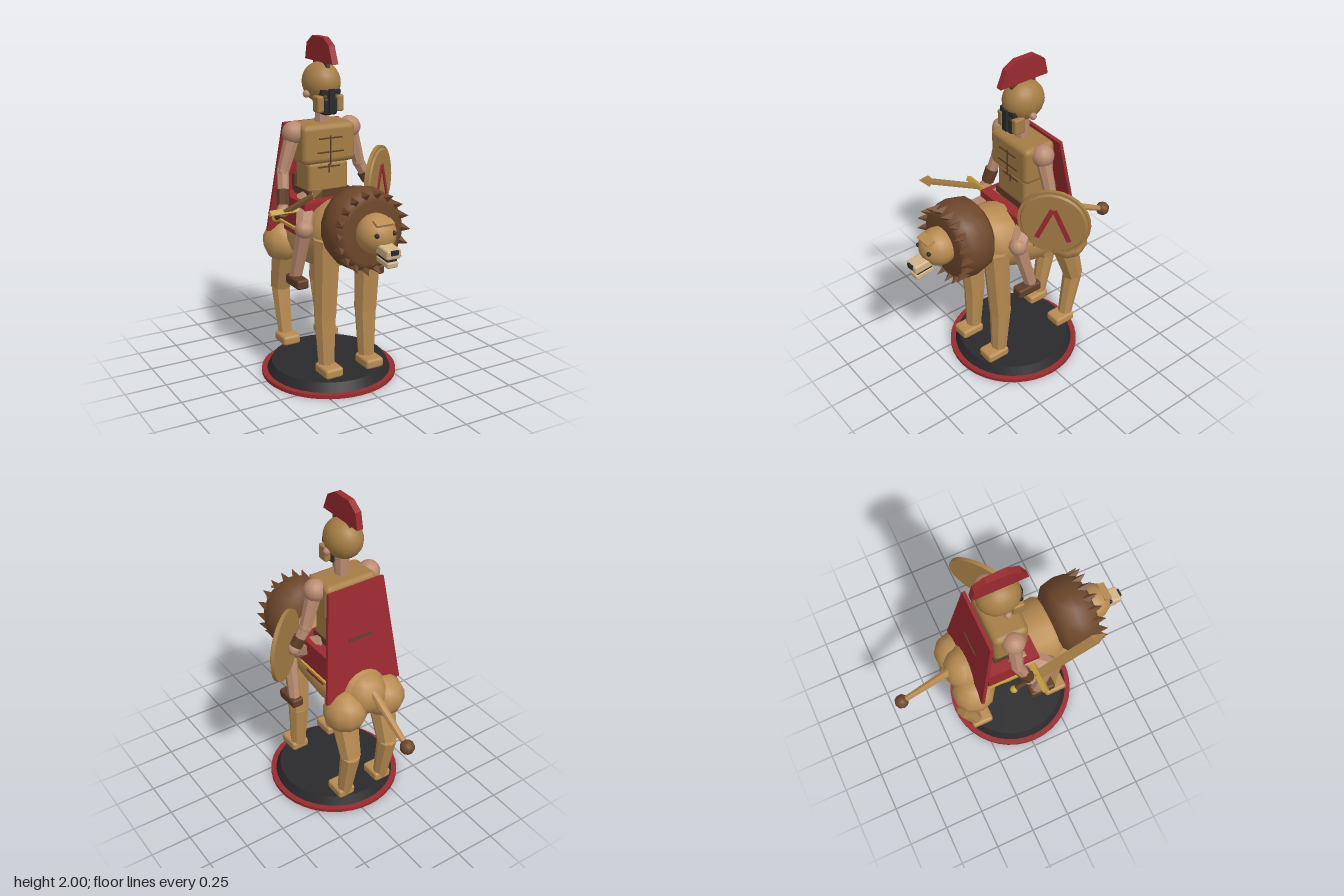
import * as THREE from 'three';
import { RoundedBoxGeometry } from 'three/addons/geometries/RoundedBoxGeometry.js';

const paint = (name, color, flatShading = false) => {
  const m = new THREE.MeshStandardMaterial({ color, flatShading });
  m.name = name;
  return m;
};
const V = (x, y, z) => new THREE.Vector3(x, y, z);

export function createModel() {
  const fur = paint('tawny fur', 0xb98c52);
  const bronze = paint('bronze', 0xa57d45);
  const maneBrown = paint('mane brown', 0x6e472b);
  const leather = paint('dark leather', 0x5f3d27);
  const skin = paint('skin', 0xb98a70);
  const red = paint('red cloth', 0x9a2a2f);
  const black = paint('black', 0x2a2a2c);
  const gold = paint('gold', 0xc4a03a);
  const cream = paint('cream muzzle', 0xd2b588);
  for (const m of [fur, skin]) m.userData.smooth = true;

  const model = new THREE.Group();
  const figure = new THREE.Group();
  figure.name = 'riderAndLion';
  figure.position.x = -0.06;
  model.add(figure);

  const add = (name, geo, mat, x = 0, y = 0, z = 0, parent = figure) => {
    const mesh = new THREE.Mesh(geo, mat);
    mesh.name = name;
    mesh.position.set(x, y, z);
    parent.add(mesh);
    return mesh;
  };
  const box = (name, mat, w, h, d, x, y, z, parent) =>
    add(name, new THREE.BoxGeometry(w, h, d), mat, x, y, z, parent);
  const soft = (name, mat, w, h, d, x, y, z, r = 0.02) =>
    add(name, new RoundedBoxGeometry(w, h, d, 2, r), mat, x, y, z);
  const ball = (name, mat, r, x, y, z, parent, seg = 12) =>
    add(name, new THREE.SphereGeometry(r, seg, Math.ceil(seg * 0.7)), mat, x, y, z, parent);
  // faceted tapered limb between two points
  const limb = (name, mat, a, b, ra, rb, sides = 8) => {
    const dir = b.clone().sub(a);
    const geo = new THREE.CylinderGeometry(rb, ra, dir.length(), sides).toNonIndexed();
    geo.computeVertexNormals();
    const mid = a.clone().add(b).multiplyScalar(0.5);
    const mesh = add(name, geo, mat, mid.x, mid.y, mid.z);
    mesh.quaternion.setFromUnitVectors(V(0, 1, 0), dir.normalize());
    return mesh;
  };
  // oval sections [z, centreY, radiusX, radiusY] joined from front to back
  const loft = (name, mat, sections, seg) => {
    const geo = new THREE.CylinderGeometry(1, 1, 1, seg, sections.length - 1, true);
    const p = geo.attributes.position;
    for (let i = 0; i < p.count; i++) {
      const [z, cy, rx, ry] = sections[Math.floor(i / (seg + 1))];
      p.setXYZ(i, p.getX(i) * rx, cy - p.getZ(i) * ry, z);
    }
    geo.computeVertexNormals();
    return add(name, geo, mat);
  };

  // round plinth
  add('baseRim', new THREE.CylinderGeometry(0.405, 0.405, 0.022, 40), red, 0, 0.011, 0.025);
  add('basePlinth', new THREE.CylinderGeometry(0.345, 0.372, 0.053, 40), black, 0, 0.0485, 0.025);

  // lion body
  loft('lionBody', fur, [
    [0.36, 0.94, 0.005, 0.005], [0.33, 0.94, 0.13, 0.12], [0.24, 0.925, 0.2, 0.185],
    [0.1, 0.89, 0.2, 0.21], [-0.08, 0.82, 0.185, 0.175], [-0.25, 0.83, 0.16, 0.15],
    [-0.36, 0.83, 0.1, 0.1], [-0.405, 0.83, 0.005, 0.005],
  ], 18);
  ball('rump', fur, 0.135, 0, 0.83, -0.275);

  // lion legs, mirrored
  for (const s of [-1, 1]) {
    const x = 0.135 * s;
    limb('frontUpperLeg', fur, V(x, 0.92, 0.25), V(x, 0.44, 0.225), 0.08, 0.066);
    limb('frontLowerLeg', fur, V(x, 0.44, 0.225), V(x, 0.13, 0.24), 0.064, 0.047);
    soft('frontPaw', fur, 0.115, 0.06, 0.15, x, 0.13, 0.275, 0.018);
    ball('haunch', fur, 0.132, x, 0.755, -0.285, figure, 10);
    limb('hindUpperLeg', fur, V(x, 0.72, -0.265), V(x, 0.45, -0.345), 0.085, 0.064);
    limb('hindLowerLeg', fur, V(x, 0.45, -0.345), V(x, 0.12, -0.285), 0.06, 0.042);
    soft('hindPaw', fur, 0.115, 0.06, 0.14, x, 0.13, -0.255, 0.018);
  }

  // tail with tuft
  limb('tail', fur, V(0, 0.9, -0.34), V(0, 0.72, -0.68), 0.028, 0.018);
  ball('tailTuft', maneBrown, 0.044, 0, 0.71, -0.7, figure, 9);

  // mane with a ring of pointed locks
  loft('mane', maneBrown, [
    [0.51, 1, 0.005, 0.005], [0.515, 1, 0.17, 0.18], [0.5, 1, 0.2, 0.21], [0.45, 1, 0.222, 0.232],
    [0.39, 1, 0.228, 0.238], [0.31, 1, 0.208, 0.222], [0.265, 1, 0.15, 0.16], [0.25, 1, 0.005, 0.005],
  ], 18);
  for (let i = 0; i < 18; i++) {
    const a = (i / 18) * Math.PI * 2, c = Math.cos(a), s = Math.sin(a);
    limb('maneLock', maneBrown, V(c * 0.18, 1 + s * 0.19, 0.455),
      V(c * 0.222, 1 + s * 0.232, 0.545), 0.042, 0.001, 4);
  }

  // lion head
  ball('lionHead', fur, 0.112, 0, 1.01, 0.55, figure, 16);
  box('brow', fur, 0.11, 0.014, 0.05, 0, 1.09, 0.625).rotation.x = 0.4;
  for (const s of [-1, 1]) ball('lionEye', black, 0.014, 0.053 * s, 1.03, 0.645, figure, 8);
  soft('snout', cream, 0.09, 0.055, 0.12, 0, 0.948, 0.675, 0.012).rotation.x = 0.12;
  soft('jaw', cream, 0.07, 0.035, 0.12, 0, 0.888, 0.665, 0.01).rotation.x = 0.12;
  box('mouth', black, 0.06, 0.025, 0.1, 0, 0.912, 0.665);
  box('nose', black, 0.045, 0.025, 0.02, 0, 0.955, 0.734);

  // saddle
  box('saddleCloth', red, 0.4, 0.16, 0.32, 0, 1.01, -0.05);
  box('saddleBack', leather, 0.22, 0.1, 0.03, 0, 1.14, -0.2);
  box('saddleTrim', gold, 0.42, 0.016, 0.28, 0, 0.918, -0.07);
  box('saddleFringe', red, 0.4, 0.025, 0.17, 0, 0.89, -0.065);

  // rider torso with carved muscle lines
  soft('breastplate', bronze, 0.34, 0.23, 0.21, 0, 1.405, -0.05, 0.035);
  soft('abdomen', bronze, 0.26, 0.2, 0.17, 0, 1.2, -0.05, 0.025);
  box('belt', leather, 0.27, 0.045, 0.185, 0, 1.115, -0.05);
  for (const [w, y] of [[0.15, 1.44], [0.17, 1.36]]) box('chestLine', leather, w, 0.008, 0.008, 0, y, 0.056);
  box('breastLine', leather, 0.008, 0.17, 0.008, 0, 1.37, 0.056);
  box('bellyLine', leather, 0.14, 0.008, 0.008, 0, 1.27, 0.037);
  box('bellyCentreLine', leather, 0.008, 0.05, 0.008, 0, 1.26, 0.037);

  // rider arms and legs
  for (const s of [-1, 1]) {
    const shoulder = V(0.183 * s, 1.47, -0.05);
    const elbow = V(0.25 * s, 1.25, -0.055);
    const hand = s < 0 ? V(-0.285, 1.04, 0.01) : V(0.32, 1.12, -0.04);
    ball('shoulder', skin, 0.066, shoulder.x, shoulder.y, shoulder.z);
    limb('upperArm', skin, shoulder, elbow, 0.046, 0.036, 7);
    ball('elbow', skin, 0.038, elbow.x, elbow.y, elbow.z, figure, 8);
    limb('forearm', skin, elbow, hand, 0.036, 0.03, 7);
    limb('bracer', leather, elbow.clone().lerp(hand, 0.45), elbow.clone().lerp(hand, 0.85), 0.041, 0.038, 8);
    ball('hand', skin, 0.038, hand.x, hand.y, hand.z, figure, 8);

    const knee = V(0.23 * s, 0.96, 0.16);
    limb('thigh', skin, V(0.1 * s, 1.07, -0.04), knee, 0.07, 0.052, 7);
    ball('knee', skin, 0.054, knee.x, knee.y, knee.z);
    limb('shin', skin, knee, V(0.25 * s, 0.65, 0.08), 0.045, 0.036, 7);
    soft('boot', leather, 0.075, 0.058, 0.16, 0.253 * s, 0.643, 0.112, 0.014);
  }

  // helmeted head
  limb('neck', skin, V(0, 1.5, -0.045), V(0, 1.67, -0.045), 0.044, 0.042, 8);
  ball('helmet', bronze, 1, 0, 1.745, -0.055, figure, 20).scale.set(0.107, 0.117, 0.125);
  box('visor', black, 0.12, 0.03, 0.05, 0, 1.7, 0.035);
  box('noseGuard', black, 0.035, 0.13, 0.03, 0, 1.655, 0.063);
  soft('beard', black, 0.09, 0.1, 0.08, 0, 1.62, 0.022, 0.018);
  for (const s of [-1, 1]) {
    soft('cheekGuard', bronze, 0.042, 0.095, 0.07, 0.064 * s, 1.635, 0.028, 0.012);
    ball('ear', skin, 0.022, 0.1 * s, 1.685, -0.045, figure, 8);
  }

  // crest as an extruded fan
  const fan = new THREE.Shape([[0.11, 1.86], [0.068, 1.96], [0, 2], [-0.125, 2], [-0.19, 1.955], [-0.21, 1.86]]
    .map(([z, y]) => new THREE.Vector2(-z, y)));
  const crestGeo = new THREE.ExtrudeGeometry(fan, { depth: 0.038, bevelEnabled: false });
  crestGeo.translate(0, 0, -0.019).rotateY(Math.PI / 2);
  add('crest', crestGeo, red);
  box('crestMount', leather, 0.022, 0.04, 0.16, 0, 1.852, -0.05);

  // tapered cape hanging from the shoulders
  const cape = new THREE.BoxGeometry(1, 0.675, 0.02);
  const cp = cape.attributes.position;
  for (let i = 0; i < cp.count; i++) cp.setX(i, cp.getX(i) * (cp.getY(i) > 0 ? 0.37 : 0.51));
  cape.computeVertexNormals();
  const capeMesh = add('cape', cape, red, 0, 1.172, -0.225);
  capeMesh.rotation.x = 0.142;
  box('capeStrap', leather, 0.15, 0.016, 0.009, 0, 0.02, -0.013, capeMesh);

  // sword pointing forward
  const sword = new THREE.Group();
  sword.name = 'sword';
  sword.position.set(-0.285, 1.05, 0.06);
  sword.rotation.x = -0.49;
  figure.add(sword);
  box('blade', bronze, 0.055, 0.016, 0.4, 0, 0, 0.2, sword);
  const tip = new THREE.ConeGeometry(0.036, 0.075, 4, 1).rotateY(Math.PI / 4).rotateX(Math.PI / 2);
  add('bladeTip', tip.toNonIndexed(), bronze, 0, 0, 0.432, sword).geometry.computeVertexNormals();
  box('guard', gold, 0.18, 0.03, 0.03, -0.02, 0, 0, sword);
  const grip = new THREE.CylinderGeometry(0.016, 0.016, 0.16, 8).rotateX(Math.PI / 2);
  add('grip', grip, leather, 0, 0, -0.085, sword);
  ball('pommel', gold, 0.024, 0, 0, -0.17, sword, 8);

  // round shield turned outward, with a painted chevron
  const shield = new THREE.Group();
  shield.name = 'shield';
  shield.position.set(0.353, 1.135, 0);
  shield.rotation.y = 0.67;
  figure.add(shield);
  add('shieldRim', new THREE.CylinderGeometry(0.21, 0.21, 0.022, 28).rotateX(Math.PI / 2), bronze, 0, 0, 0, shield);
  add('shieldFace', new THREE.CylinderGeometry(0.185, 0.195, 0.012, 28).rotateX(Math.PI / 2), bronze, 0, 0, 0.016, shield);
  for (const s of [-1, 1])
    box('shieldChevron', red, 0.028, 0.22, 0.008, 0.05 * s, -0.005, 0.024, shield).rotation.z = 0.41 * s;

  return model;
}
